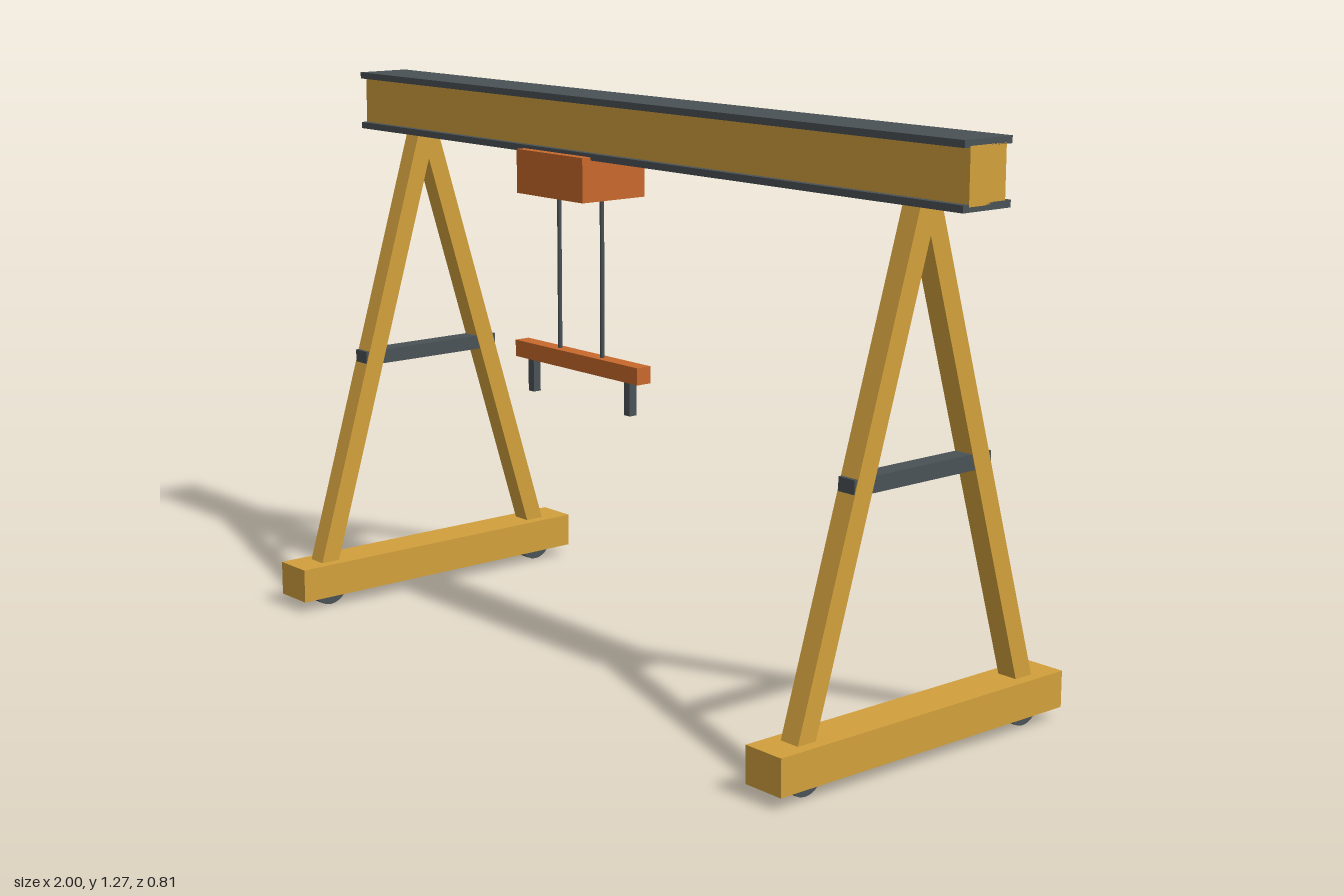
import * as THREE from 'three';

const paint = (name, color) => {
  const m = new THREE.MeshStandardMaterial({ color });
  m.name = name;
  return m;
};

export function createModel() {
  const yellow = paint('yellow paint', 0xd2a03c);
  const steel = paint('dark steel', 0x4a5256);
  const orange = paint('orange paint', 0xc8692c);

  const model = new THREE.Group();
  model.name = 'gantryCrane';

  const add = (parent, name, geometry, material, x = 0, y = 0, z = 0) => {
    const mesh = new THREE.Mesh(geometry, material);
    mesh.name = name;
    mesh.position.set(x, y, z);
    parent.add(mesh);
    return mesh;
  };
  // box given by its bottom and top heights
  const box = (parent, name, material, w, y0, y1, d, x = 0, z = 0) =>
    add(parent, name, new THREE.BoxGeometry(w, y1 - y0, d), material, x, (y0 + y1) / 2, z);

  // main girder with top and bottom flanges
  const girder = new THREE.Group();
  girder.name = 'girder';
  model.add(girder);
  box(girder, 'girderWeb', yellow, 2, 1.14, 1.255, 0.1);
  box(girder, 'topFlange', steel, 2, 1.252, 1.267, 0.132);
  box(girder, 'bottomFlange', steel, 2, 1.13, 1.145, 0.132);

  // sloping leg outline, drawn with z as the horizontal axis
  const legShape = (s) => new THREE.Shape([
    new THREE.Vector2(s * 0.339, 0.1),
    new THREE.Vector2(s * 0.291, 0.1),
    new THREE.Vector2(s * -0.02, 1.133),
    new THREE.Vector2(s * 0.028, 1.133),
  ]);
  const wheelGeometry = new THREE.CylinderGeometry(0.048, 0.048, 0.048, 24).rotateZ(Math.PI / 2);

  // A-frame supports at both ends
  for (const side of [-1, 1]) {
    const frame = new THREE.Group();
    frame.name = side > 0 ? 'leftSupport' : 'rightSupport';
    frame.position.x = side * 0.834;
    model.add(frame);

    box(frame, 'endCarriage', yellow, 0.1, 0.027, 0.107, 0.81);
    box(frame, 'crossBrace', steel, 0.044, 0.577, 0.611, 0.388);
    for (const s of [-1, 1]) {
      const leg = new THREE.ExtrudeGeometry(legShape(s), { depth: 0.048, bevelEnabled: false });
      leg.translate(0, 0, -0.024).rotateY(-Math.PI / 2);
      add(frame, s > 0 ? 'frontLeg' : 'backLeg', leg, yellow);
      add(frame, s > 0 ? 'frontWheel' : 'backWheel', wheelGeometry, steel, 0, 0.048, s * 0.315);
    }
  }

  // trolley with hoisted spreader bar
  const hoist = new THREE.Group();
  hoist.name = 'hoist';
  hoist.position.x = -0.222;
  model.add(hoist);
  box(hoist, 'trolley', orange, 0.237, 1.037, 1.137, 0.178);
  box(hoist, 'spreaderBar', orange, 0.444, 0.635, 0.674, 0.038);
  for (const s of [-1, 1]) {
    add(hoist, 'cable', new THREE.CylinderGeometry(0.005, 0.005, 0.38, 8), steel, s * 0.077, 0.855, 0);
    box(hoist, 'grab', steel, 0.02, 0.557, 0.637, 0.02, s * 0.175);
  }

  return model;
}
